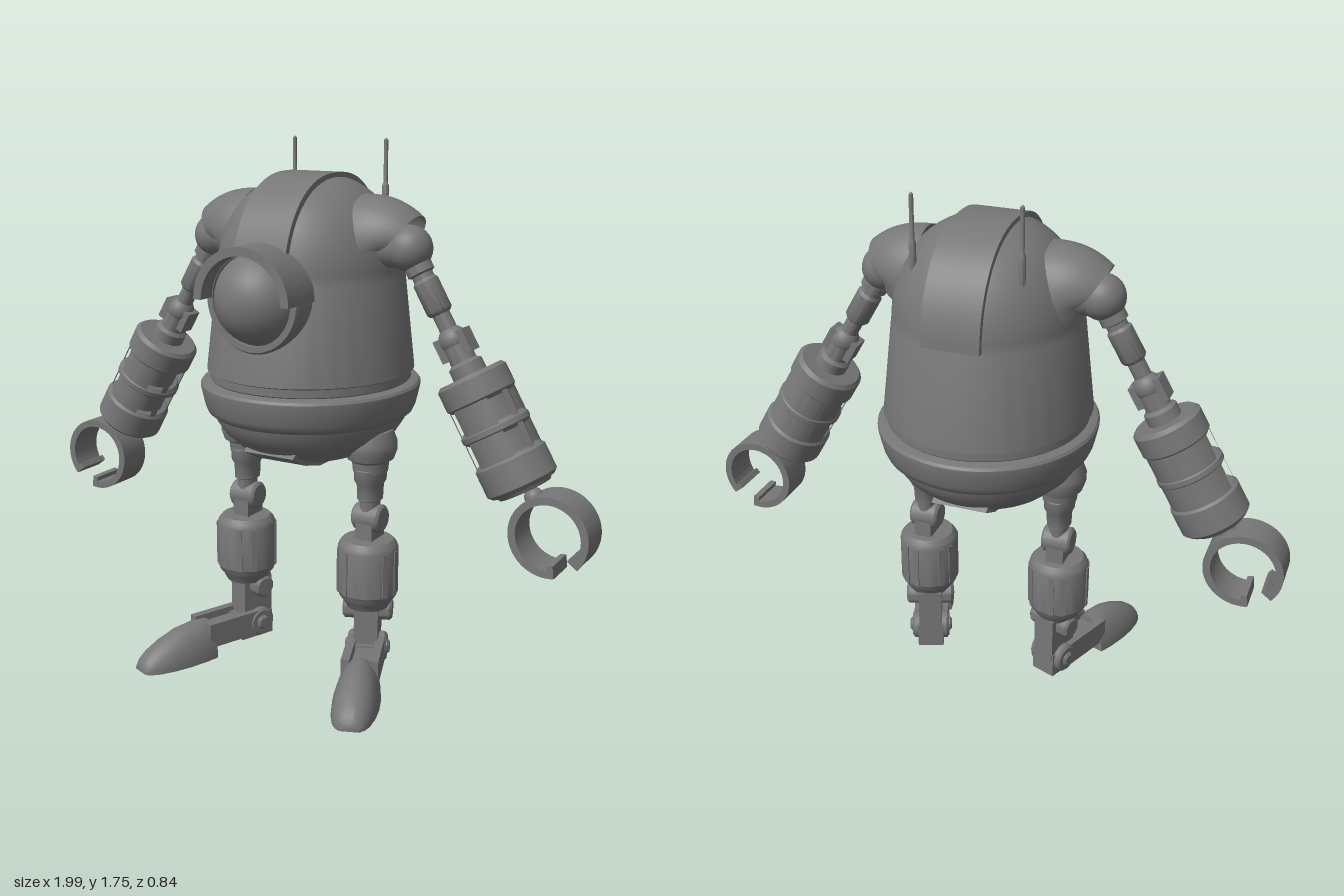
import * as THREE from 'three';
import { toCreasedNormals } from 'three/addons/utils/BufferGeometryUtils.js';

const metal = new THREE.MeshStandardMaterial({ color: 0x777777 });
const metalThin = new THREE.MeshStandardMaterial({ color: 0x777777, side: THREE.DoubleSide });

function add(parent, name, geo, x = 0, y = 0, z = 0, mat = metal) {
  const m = new THREE.Mesh(geo, mat);
  m.name = name;
  m.position.set(x, y, z);
  parent.add(m);
  return m;
}
function group(parent, name, x, y, z) {
  const g = new THREE.Group();
  g.name = name;
  g.position.set(x, y, z);
  parent.add(g);
  return g;
}
// Turned part; profile is [radius, y] from bottom to top
function lathe(profile, seg = 32, start = 0, len = Math.PI * 2) {
  const g = new THREE.LatheGeometry(profile.map(p => new THREE.Vector2(p[0], p[1])), seg, start, len);
  return toCreasedNormals(g, 0.6);
}
const box = (w, h, d) => new THREE.BoxGeometry(w, h, d);
const ball = (r) => new THREE.SphereGeometry(r, 28, 18);
// Barrel lying along x or z
function barrel(r, len, axis) {
  const c = Math.min(0.008, r * 0.3), h = len / 2;
  const g = lathe([[0, -h], [r - c, -h], [r, -h + c], [r, h - c], [r - c, h], [0, h]], 24);
  return axis === 'x' ? g.rotateZ(Math.PI / 2) : g.rotateX(Math.PI / 2);
}
// Skin over equal-length rows of points
function loft(rows, crease = 0.6) {
  const n = rows[0].length, idx = [];
  for (let i = 0; i < rows.length - 1; i++)
    for (let j = 0; j < n - 1; j++) {
      const a = i * n + j, b = a + 1, c = a + n, d = c + 1;
      idx.push(a, b, c, b, d, c);
    }
  const g = new THREE.BufferGeometry();
  g.setAttribute('position', new THREE.Float32BufferAttribute(rows.flat(2), 3));
  g.setIndex(idx);
  return toCreasedNormals(g, crease);
}
// Flat ribbon: outline in (z, y), extruded to a width along x
function ribbon(outline, width) {
  const g = new THREE.ExtrudeGeometry(new THREE.Shape(outline), { depth: width, bevelEnabled: false });
  return toCreasedNormals(g.translate(0, 0, -width / 2).rotateY(-Math.PI / 2), 0.5);
}
function domePoint(a, rx, ry) {
  const c = Math.cos(a);
  return new THREE.Vector2(Math.sign(c) * Math.abs(c) ** 0.85 * rx, 1.33 + Math.sin(a) * ry);
}

function buildBody(root) {
  const body = group(root, 'body', 0, 0, -0.035);
  const oval = (m) => { m.scale.z = 1.06; return m; };
  const shell = [[0.31, 0.97], [0.326, 0.99], [0.326, 1.015], [0.336, 1.02], [0.302, 1.325], [0.3, 1.33]];
  for (let i = 1; i <= 20; i++) {
    const p = domePoint(i / 20 * Math.PI / 2, 0.3, 0.316);
    shell.push([i === 20 ? 0 : p.x, p.y]);
  }
  oval(add(body, 'domedShell', lathe(shell, 64)));
  oval(add(body, 'waistRing', lathe([[0.3, 0.868], [0.322, 0.872], [0.335, 0.882], [0.343, 0.9], [0.35, 0.93],
    [0.357, 0.962], [0.357, 0.973], [0.351, 0.981], [0.335, 0.986], [0.3, 0.988]], 64)));
  oval(add(body, 'lowerBowl', lathe([[0, 0.722], [0.1, 0.725], [0.17, 0.737], [0.23, 0.762], [0.282, 0.81],
    [0.308, 0.85], [0.315, 0.88]], 64)));
  // Nearly flush strip over the dome and its continuation under the bowl
  const outer = [], inner = [];
  for (let i = 0; i <= 40; i++) {
    const a = i / 40 * Math.PI;
    outer.push(domePoint(a, 0.321, 0.321));
    inner.unshift(domePoint(a, 0.29, 0.29));
  }
  add(body, 'crownStrip', ribbon([...outer, ...inner], 0.185));
  const under = [[-0.27, 0.775], [-0.19, 0.735], [-0.1, 0.712], [0.1, 0.712], [0.19, 0.735], [0.27, 0.775],
    [0.25, 0.79], [0, 0.75], [-0.25, 0.79]].map(p => new THREE.Vector2(...p));
  add(body, 'bellyStrip', ribbon(under, 0.185));
  for (const s of [-1, 1])
    add(body, 'antenna', lathe([[0.011, 1.5], [0.011, 1.6], [0.007, 1.61], [0.007, 1.745], [0, 1.752]], 10),
      s * 0.172, 0, -0.182);
}

function buildEye(root) {
  const eye = group(root, 'eye', 0, 1.285, 0);
  add(eye, 'eyeBall', ball(0.148), 0, 0, 0.262);
  const ring = lathe([[0.14, 0.18], [0.166, 0.18], [0.166, 0.315], [0.16, 0.325], [0.14, 0.325], [0.14, 0.18]], 48);
  add(eye, 'eyeRing', ring.rotateX(Math.PI / 2));
  // Hood covering the upper half of the ring
  const hood = new THREE.Shape();
  hood.absarc(0, 0, 0.17, 0, Math.PI, false);
  hood.absarc(0, 0, 0.142, Math.PI, 0, true);
  const g = new THREE.ExtrudeGeometry(hood, { depth: 0.185, bevelEnabled: false, curveSegments: 32 });
  add(eye, 'eyeHood', toCreasedNormals(g, 0.5), 0, 0, 0.2);
}

function buildArm(root, s) {
  // Shoulder pad: an arch whose outer rim is pulled out at its crest
  const rows = [];
  for (let i = 0; i <= 10; i++) {
    const v = i / 10, row = [];
    for (let j = 0; j <= 24; j++) {
      const a = j / 24 * 3.55, up = Math.max(0, Math.sin(a));
      const x = THREE.MathUtils.lerp(0.2, 0.305 + 0.082 * up ** 0.6, v);
      row.push([s * x, 1.43 + Math.sin(a) * (0.16 - 0.06 * v ** 2.5),
        -0.03 + Math.cos(a) * (0.143 - 0.033 * v ** 2.5)]);
    }
    rows.push(row);
  }
  add(root, 'shoulderPad', loft(rows, 1), 0, 0, 0, metalThin);
  add(root, 'shoulderSocket', barrel(0.065, 0.12, 'x'), s * 0.29, 1.43, -0.02);

  // Arm runs straight down its own -y axis, swung outward
  const arm = group(root, 'arm', s * 0.36, 1.43, -0.02);
  arm.rotation.z = s * Math.PI / 6;
  add(arm, 'shoulderBall', ball(0.073));
  add(arm, 'upperArm', lathe([[0.028, -0.3], [0.028, -0.225], [0.036, -0.22], [0.041, -0.212], [0.041, -0.115],
    [0.034, -0.105], [0.034, -0.09], [0.044, -0.085], [0.044, -0.06], [0.03, -0.05]]));
  add(arm, 'elbowBall', ball(0.046), 0, -0.312, 0);
  for (const k of [-1, 1]) add(arm, 'elbowFork', box(0.024, 0.075, 0.062), k * 0.042, -0.33, 0);
  add(arm, 'elbowCollar', lathe([[0.055, -0.44], [0.055, -0.395], [0.042, -0.385], [0.042, -0.33]]));
  // Forearm: cylinder with a plated front, closed back and slots at the sides
  add(arm, 'forearmCore', lathe([[0.086, -0.78], [0.086, -0.45]]));
  const band = (r, y0, y1) => lathe([[0.04, y0], [r - 0.012, y0], [r, y0 + 0.012], [r, y1 - 0.012],
    [r - 0.012, y1], [0.04, y1]], 40);
  add(arm, 'forearmTop', band(0.114, -0.52, -0.43));
  add(arm, 'forearmStrap', band(0.112, -0.63, -0.59));
  add(arm, 'forearmBottom', band(0.116, -0.808, -0.7));
  const plate = (mid, span) => lathe([[0.085, -0.71], [0.108, -0.71], [0.108, -0.51], [0.085, -0.51]],
    32, mid - span / 2, span);
  add(arm, 'forearmBackPlate', plate(Math.PI, 2.7), 0, 0, 0, metalThin);
  add(arm, 'forearmFrontPlate', plate(0, 1.2), 0, 0, 0, metalThin);
  for (const k of [-1, 1]) add(arm, 'forearmBar', plate(k * 1.2, 0.22), 0, 0, 0, metalThin);
  add(arm, 'forearmCap', lathe([[0, -0.82], [0.085, -0.82], [0.095, -0.805]]));
  add(arm, 'wrist', ball(0.03), s * 0.016, -0.85, 0);

  // Open claw ring with its gap at the far end
  const claw = group(arm, 'claw', s * 0.025, -0.975, 0);
  const gap = 0.33, shape = new THREE.Shape();
  shape.absarc(0, 0, 0.128, -Math.PI / 2 + gap, Math.PI * 1.5 - gap, false);
  shape.absarc(0, 0, 0.104, Math.PI * 1.5 - gap, -Math.PI / 2 + gap, true);
  const ring = new THREE.ExtrudeGeometry(shape, { depth: 0.122, bevelEnabled: false, curveSegments: 48 });
  add(claw, 'clawRing', toCreasedNormals(ring.translate(0, 0, -0.061), 0.5));
  for (const k of [-1, 1]) {
    const a = -Math.PI / 2 + k * (gap + 0.07);
    const tip = add(claw, 'clawTip', box(0.04, 0.02, 0.122), Math.cos(a) * 0.108, Math.sin(a) * 0.108, 0);
    tip.rotation.z = a;
  }
}

function buildLeg(root, s) {
  const leg = group(root, 'leg', s * 0.24, 0, 0);
  // Hip dome tucked against the bowl, stepping down to the thigh
  const hip = add(leg, 'hip', lathe([[0.045, 0.69], [0.056, 0.7], [0.06, 0.735], [0.075, 0.745], [0.085, 0.775],
    [0.085, 0.8], [0.07, 0.84], [0, 0.86]]), 0, 0, -0.01);
  hip.scale.z = 1.1;
  const thigh = add(leg, 'thigh', lathe([[0.03, 0.54], [0.032, 0.6], [0.04, 0.605], [0.042, 0.655], [0.05, 0.67],
    [0.052, 0.71], [0.045, 0.72]]), 0, 0, -0.01);
  thigh.scale.z = 1.25;
  add(leg, 'kneeBarrel', barrel(0.047, 0.1, 'x'), 0, 0.54, -0.01);
  add(leg, 'kneeLug', box(0.06, 0.09, 0.09), 0, 0.5, -0.01);

  // Lower leg and foot are toed outward together
  const lower = group(leg, 'lowerLeg', 0, 0, 0);
  lower.rotation.y = s * 0.37;
  add(lower, 'shin', lathe([[0, 0.235], [0.07, 0.235], [0.083, 0.26], [0.095, 0.275], [0.097, 0.285], [0.101, 0.29],
    [0.101, 0.44], [0.096, 0.455], [0.083, 0.47], [0, 0.472]], 28));
  for (const a of [-1.2, -0.7, 0.7, 1.2, 2.3, 2.7, -2.3, -2.7]) {
    const rib = add(lower, 'shinRib', box(0.018, 0.15, 0.01), Math.sin(a) * 0.099, 0.365, Math.cos(a) * 0.099);
    rib.rotation.y = a;
  }
  add(lower, 'ankleBarrel', barrel(0.038, 0.165, 'x'), 0, 0.215, -0.02);
  add(lower, 'anklePost', box(0.08, 0.21, 0.115), 0, 0.14, -0.018);
  add(lower, 'heelBarrel', barrel(0.05, 0.13, 'x'), 0, 0.078, -0.02);
  add(lower, 'heelPivot', barrel(0.025, 0.15, 'x'), 0, 0.078, -0.02);
  add(lower, 'heelBlock', box(0.09, 0.085, 0.13), 0, 0.064, -0.01);
  for (const k of [-1, 1]) add(lower, 'footRail', box(0.028, 0.085, 0.21), k * 0.047, 0.08, 0.095);
  add(lower, 'footBeam', box(0.06, 0.06, 0.14), 0, 0.07, 0.11);

  // Toe: arched sections [z, half width, height], flat underneath
  const sections = [[0.175, 0, 0.05], [0.175, 0.068, 0.122], [0.22, 0.074, 0.126], [0.29, 0.076, 0.116],
    [0.35, 0.071, 0.094], [0.4, 0.06, 0.068], [0.428, 0.047, 0.046], [0.443, 0.032, 0.028], [0.446, 0, 0.01]];
  const rows = sections.map(([z, w, h]) => {
    const row = [];
    for (let j = 0; j <= 16; j++) {
      const a = j / 16 * Math.PI;
      row.push(w ? [w * Math.cos(a), h * Math.sin(a), z] : [0, h, z]);
    }
    row.push(row[0].slice());
    return row;
  });
  add(lower, 'toe', loft(rows, 0.7));
}

export function createModel() {
  const root = new THREE.Group();
  root.name = 'robot';
  buildBody(root);
  buildEye(root);
  for (const s of [1, -1]) {
    buildArm(root, s);
    buildLeg(root, s);
  }
  return root;
}
